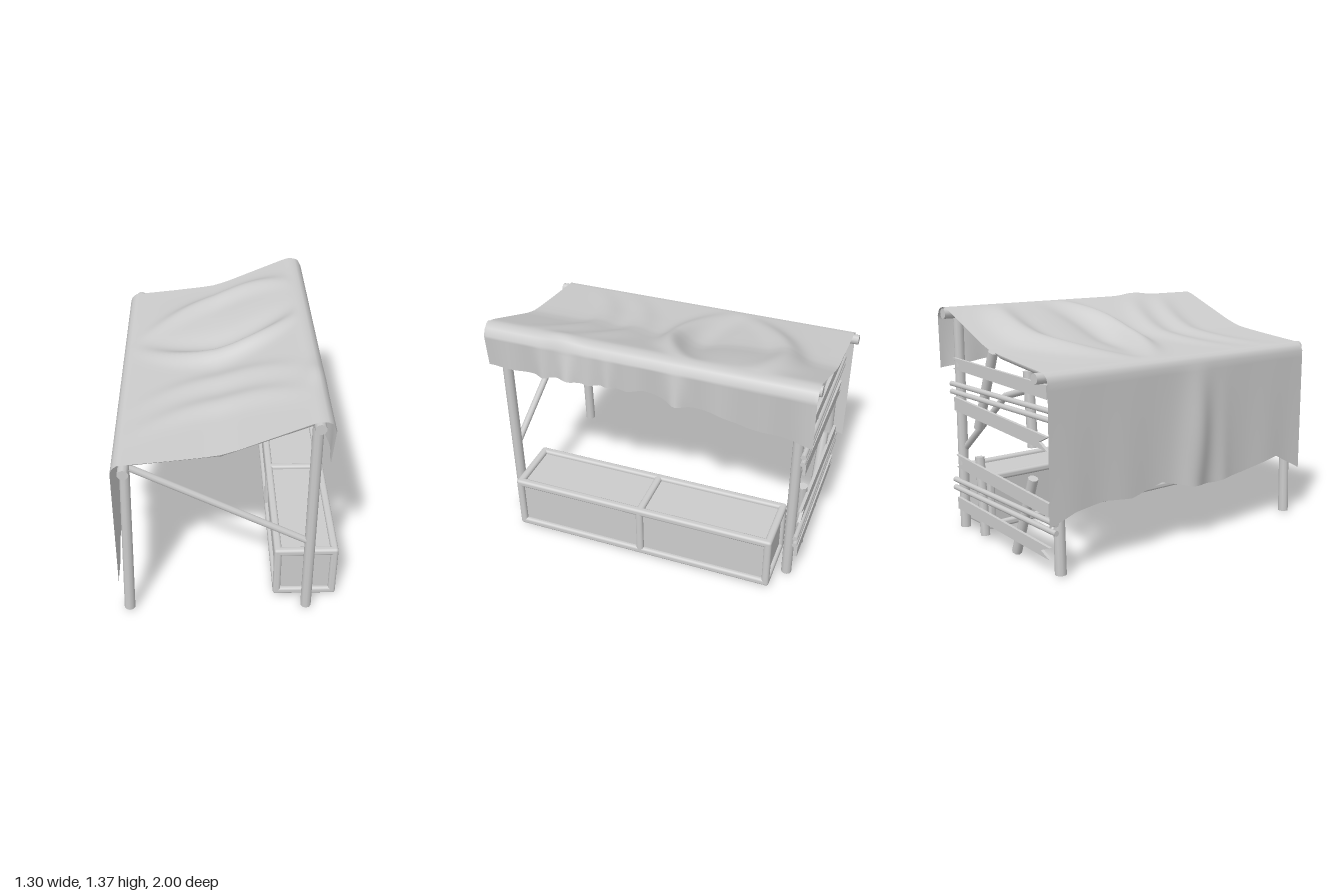
import * as THREE from 'three';
import { RoundedBoxGeometry } from 'three/addons/geometries/RoundedBoxGeometry.js';

const mat = new THREE.MeshStandardMaterial({ color: 0xcccccc });
const clothMat = new THREE.MeshStandardMaterial({ color: 0xcccccc, side: THREE.DoubleSide });
const V = (x, y, z) => new THREE.Vector3(x, y, z);

function add(parent, name, geo, material = mat) {
  const mesh = new THREE.Mesh(geo, material);
  mesh.name = name;
  parent.add(mesh);
  return mesh;
}

// Round pole running from a to b
function pole(parent, name, a, b, r, r2 = r, sides = 10) {
  const d = b.clone().sub(a);
  const mesh = add(parent, name, new THREE.CylinderGeometry(r2, r, d.length(), sides));
  mesh.position.copy(a).add(b).multiplyScalar(0.5);
  mesh.quaternion.setFromUnitVectors(V(0, 1, 0), d.normalize());
}

// Linear interpolation through [position, value] pairs
function lookup(table, t) {
  for (let i = 1; i < table.length; i++) {
    const [a, va] = table[i - 1], [b, vb] = table[i];
    if (t <= b) return va + (vb - va) * Math.max(0, (t - a) / (b - a));
  }
  return table[table.length - 1][1];
}
const bump = (t, centre, width) => Math.exp(-(((t - centre) / width) ** 2));

// Cloth draped over the frame: long side flap, wrinkled roof, short side flap
function canopy() {
  const leftHem = [[-0.97, 0.29], [-0.8, 0.35], [-0.6, 0.37], [-0.42, 0.35], [-0.2, 0.4], [0, 0.35],
    [0.2, 0.33], [0.45, 0.35], [0.75, 0.4], [0.96, 0.29]];
  const rightHem = [[-0.97, 0.99], [-0.8, 1.01], [-0.6, 1.03], [-0.4, 1.09], [-0.2, 1.1], [0, 1.14],
    [0.1, 1.11], [0.2, 1.13], [0.32, 1.11], [0.45, 1.13], [0.6, 1.1], [0.96, 1.1]];
  const roof = [[-0.6, 1.05], [-0.588, 1.08], [-0.56, 1.1], [-0.3, 1.126], [-0.12, 1.146], [-0.03, 1.16],
    [0.06, 1.19], [0.42, 1.34], [0.46, 1.354], [0.5, 1.354], [0.53, 1.34], [0.55, 1.3]];
  const nu = 70, nv = 96;
  const geo = new THREE.PlaneGeometry(1, 1, nu, nv);
  const p = geo.attributes.position;
  for (let i = 0; i < p.count; i++) {
    const k = Math.round((p.getX(i) + 0.5) * nu);
    const z = -p.getY(i) * 1.925 - 0.003;
    let x, y;
    if (k < 18) {
      // long hanging flap
      const s = 1 - k / 18;
      y = 1.05 + (lookup(leftHem, z) - 1.05) * s;
      x = -0.6 - s * (0.05 * bump(z, 0.02, 0.1) + 0.012 * bump(z, 0.27, 0.06))
        - 0.025 * Math.sin(Math.PI * s) * bump(z, 0.08, 0.08)
        + 0.004 * s * Math.sin(z * 17);
    } else if (k > 58) {
      // short flap, folds opening toward the hem
      const s = (k - 58) / 12;
      y = 1.3 + (lookup(rightHem, z) - 1.3) * s;
      const fold = bump(z, 0.44, 0.06) + 0.6 * bump(z, 0.2, 0.04) + 0.6 * bump(z, -0.2, 0.05)
        + 0.4 * bump(z, 0.6, 0.04) + 0.3 * bump(z, 0.32, 0.04);
      x = 0.55 + s * (0.06 * fold - 0.012 - 0.02 * bump(z, -0.75, 0.15) + 0.006 * Math.sin(z * 25));
    } else {
      // roof slope with cloth ridges
      const t = (k - 18) / 40;
      x = t < 0.1 ? -0.6 + t * 0.4 : t > 0.85 ? 0.42 + (t - 0.85) / 0.15 * 0.13 : -0.56 + (t - 0.1) / 0.75 * 0.98;
      y = lookup(roof, x);
      const e = Math.max(0, Math.sin(Math.PI * (x + 0.56) / 1.02)) * (1 + x);
      const c = (x + 0.02) ** 2;
      y += e * (0.055 * bump(z, -0.7 + 0.9 * (x - 0.15) ** 2, 0.09) + 0.03 * bump(z, -0.5, 0.25)
        + 0.06 * bump(z, -0.8 * c, 0.07) - 0.025 * bump(z, -0.17 - 0.5 * c, 0.09)
        + 0.025 * bump(z, 0.26 + 0.8 * c, 0.08) + 0.025 * bump(z, 0.5 + 0.8 * c, 0.08));
      y += 0.016 * bump(z, 0.48, 0.1) * bump(x, 0.5, 0.06);
    }
    p.setXYZ(i, x, y, z);
  }
  geo.computeVertexNormals();
  return geo;
}

// Flat plank with a V notch split into one end
function plank(parent, l0, l1, r0, r1, notchRight) {
  const x0 = -0.53, x1 = 0.46;
  const pts = [[x0, l0], [x1, r0]];
  if (notchRight) pts.push([x1 - 0.09, (r0 + r1) / 2 - 0.005]);
  pts.push([x1, r1], [x0, l1]);
  if (!notchRight) pts.push([x0 + 0.08, (l0 + l1) / 2]);
  const shape = new THREE.Shape(pts.map(([x, y]) => new THREE.Vector2(x, y)));
  const mesh = add(parent, 'plank', new THREE.ExtrudeGeometry(shape, { depth: 0.018, bevelEnabled: false }));
  mesh.position.z = -0.927;
}

// Long chest: rounded beams along every edge and two boxes forming recessed panels
function chest() {
  const g = new THREE.Group();
  g.name = 'chest';
  const w = 0.37, h = 0.345, l = 1.62, b = 0.044;
  const beam = (x, y, z, sx, sy, sz) =>
    add(g, 'chestBeam', new RoundedBoxGeometry(sx, sy, sz, 3, 0.016)).position.set(x, y, z);
  const ex = (w - b) / 2, ey = (h - b) / 2, ez = (l - b) / 2;
  for (const s of [-1, 1]) {
    for (const t of [-1, 1]) beam(s * ex, t * ey, 0, b, b, l);
    for (const z of [-ez, 0, ez]) {
      beam(s * ex, 0, z, b, h, b);
      beam(0, s * ey, z, w, b, b);
    }
    add(g, 'chestPanels', new THREE.BoxGeometry(w - b, h - b, ez)).position.z = s * ez / 2;
  }
  g.position.set(0.465, 0.183, 0);
  return g;
}

export function createModel() {
  const g = new THREE.Group();
  g.name = 'marketStall';

  // Posts, sloping bent rafters and joints at both ends
  for (const z of [0.88, -0.875]) {
    pole(g, 'lowPost', V(-0.56, 0.008, z), V(-0.53, 1.07, z), 0.032, 0.028);
    pole(g, 'tallPost', V(0.468, 0, z), V(0.468, 1.32, z), 0.031, 0.03);
    pole(g, 'rafter', V(-0.53, 1.07, z), V(-0.03, 1.125, z), 0.026);
    pole(g, 'rafter', V(-0.03, 1.125, z), V(0.468, 1.32, z), 0.026);
    add(g, 'rafterJoint', new THREE.SphereGeometry(0.026, 10, 8)).position.set(-0.03, 1.125, z);
  }
  // Long rails
  pole(g, 'lowRail', V(-0.53, 1.07, -1), V(-0.53, 1.07, 1), 0.03);
  pole(g, 'highRail', V(0.468, 1.318, -0.975), V(0.468, 1.318, 0.975), 0.031);

  // Diagonal braces: straight at one end, bent at the other
  pole(g, 'brace', V(-0.53, 1.04, 0.88), V(0.46, 0.495, 0.88), 0.02);
  pole(g, 'bentBrace', V(-0.53, 1.04, -0.86), V(-0.02, 0.89, -0.86), 0.02);
  pole(g, 'bentBrace', V(-0.02, 0.89, -0.86), V(0.46, 0.5, -0.86), 0.02);

  // Slatted end wall
  const wall = new THREE.Group();
  wall.name = 'slattedWall';
  g.add(wall);
  plank(wall, 0.955, 1.03, 0.99, 1.057, true);
  plank(wall, 0.68, 0.757, 0.74, 0.82, false);
  plank(wall, 0.327, 0.402, 0.39, 0.467, true);
  plank(wall, 0.09, 0.157, 0.125, 0.198, false);
  for (const y of [0.895, 0.847, 0.3, 0.25])
    pole(wall, 'thinSlat', V(-0.585, y, -0.915), V(0.505, y, -0.915), 0.016, 0.016, 8);
  for (const [xa, ya, xb, yb] of [[-0.33, 0.66, -0.298, 1.07], [0.25, 0.66, 0.06, 1.13],
    [-0.14, 0.015, -0.325, 0.485], [0.212, 0.015, 0.25, 0.488]])
    pole(wall, 'uprightStick', V(xa, ya, -0.885), V(xb, yb, -0.885), 0.029, 0.029, 8);

  add(g, 'canopy', canopy(), clothMat);
  g.add(chest());

  // Sagging line with a hanging lamp
  const line = new THREE.QuadraticBezierCurve3(V(-0.03, 1.115, 0.88), V(-0.03, 1.015, 0), V(-0.03, 1.115, -0.88));
  add(g, 'lampLine', new THREE.TubeGeometry(line, 24, 0.006, 6));
  pole(g, 'lampCord', V(-0.03, 1.0, 0), V(-0.03, 1.066, 0), 0.004, 0.004, 6);
  const profile = [[0, 0.923], [0.014, 0.925], [0.018, 0.937], [0.014, 0.958], [0.011, 0.968],
    [0.021, 0.972], [0.021, 0.982], [0.011, 1.0], [0.007, 1.012], [0, 1.012]];
  add(g, 'lamp', new THREE.LatheGeometry(profile.map(([x, y]) => new THREE.Vector2(x, y)), 12))
    .position.x = -0.03;
  return g;
}
